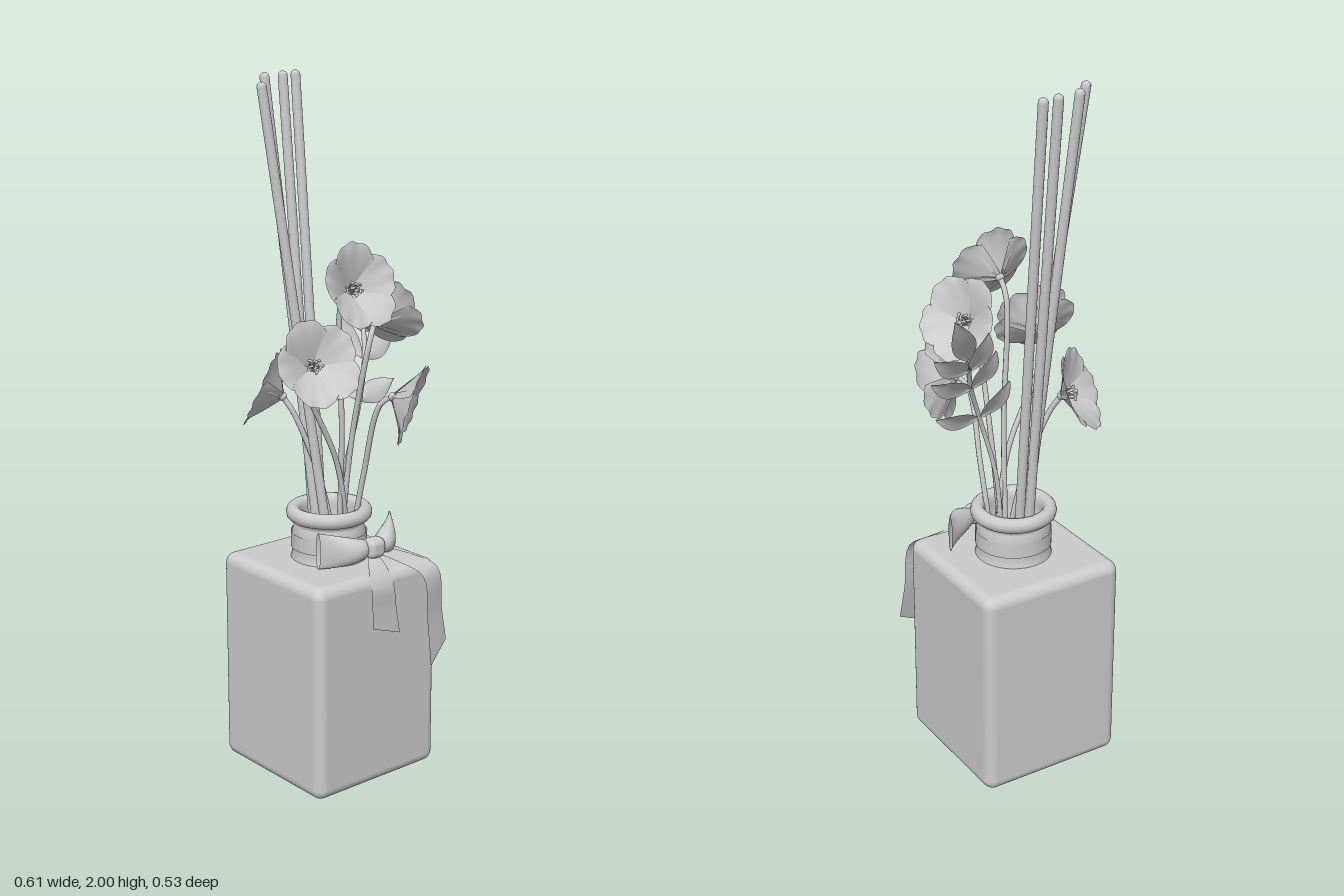
import * as THREE from 'three';
import { RoundedBoxGeometry } from 'three/addons/geometries/RoundedBoxGeometry.js';
import { ParametricGeometry } from 'three/addons/geometries/ParametricGeometry.js';

const solid = new THREE.MeshStandardMaterial({ color: 0xcccccc });
const thin = new THREE.MeshStandardMaterial({ color: 0xcccccc, side: THREE.DoubleSide });
const V = (x, y, z) => new THREE.Vector3(x, y, z);
const UP = V(0, 1, 0);

function part(parent, name, geometry, material = solid) {
  const mesh = new THREE.Mesh(geometry, material);
  mesh.name = name;
  parent.add(mesh);
  return mesh;
}

function tube(parent, name, points, radius) {
  const curve = new THREE.CatmullRomCurve3(points);
  return part(parent, name, new THREE.TubeGeometry(curve, 24, radius, 8));
}

// Straight rod with rounded ends
function rod(parent, name, a, b, radius) {
  const dir = b.clone().sub(a);
  const mesh = part(parent, name, new THREE.CapsuleGeometry(radius, dir.length() - 2 * radius, 5, 14));
  mesh.position.copy(a).lerp(b, 0.5);
  mesh.quaternion.setFromUnitVectors(UP, dir.normalize());
  return mesh;
}

// Round-tipped, cupped petal growing along +x, opening towards +y
function petalGeometry(phase) {
  return new ParametricGeometry((u, v, p) => {
    const s = 2 * u - 1;
    const half = 0.01 + 0.056 * Math.sin((Math.PI / 2) * Math.pow(v, 0.8));
    const rounding = 0.058 * (1 - Math.sqrt(1 - 0.98 * s * s)) * v * v;
    const ruffle = 0.002 * v * v * Math.sin(9 * s + phase);
    p.set(
      0.004 + 0.118 * Math.pow(v, 0.95) - rounding + ruffle,
      0.074 * Math.pow(v, 0.85) - 0.012 * v ** 4 - 0.4 * rounding + 0.012 * s * s * v + ruffle,
      s * half
    );
  }, 18, 12);
}

// Five-petalled blossom; its centre faces along normal
function flower(parent, name, centre, normal, root, spin) {
  const group = new THREE.Group();
  group.name = name;
  parent.add(group);
  const n = normal.normalize();
  const base = centre.clone().addScaledVector(n, -0.035);

  const head = new THREE.Group();
  head.name = name + 'Head';
  head.position.copy(base);
  head.quaternion.setFromUnitVectors(UP, n);
  group.add(head);
  for (let i = 0; i < 5; i++) {
    const petal = part(head, 'petal', petalGeometry(i * 1.7 + spin), thin);
    petal.rotation.y = spin + (i * Math.PI * 2) / 5;
    petal.position.y = 0.003 * (i % 2);
  }
  part(head, 'calyx', new THREE.SphereGeometry(0.013, 12, 8)).scale.y = 0.8;
  // Stamens with small anthers
  for (let i = 0; i < 9; i++) {
    const a = i * 2.4, r = 0.0075 * Math.sqrt(i);
    const tip = V(r * Math.cos(a), 0.045 - 0.0012 * i, r * Math.sin(a));
    rod(head, 'filament', V(tip.x * 0.3, 0.004, tip.z * 0.3), tip, 0.0018);
    const anther = part(head, 'anther', new THREE.CapsuleGeometry(0.004, 0.007, 3, 8));
    anther.position.copy(tip);
    anther.rotation.set(a, 0, 0.8);
  }
  // Stem leaves the neck almost upright and bends into the flower
  const rise = root.clone().lerp(base, 0.45);
  rise.y += 0.02;
  rise.x = root.x + (base.x - root.x) * 0.33;
  rise.z = root.z + (base.z - root.z) * 0.33;
  tube(group, 'stem', [root, rise, base.clone().addScaledVector(n, -0.035).add(V(0, -0.035, 0)), base], 0.008);
}

function leaf(parent, base, dir, side, length) {
  const d = dir.clone().normalize();
  const face = d.clone().cross(side).normalize();
  const across = face.clone().cross(d);
  part(parent, 'leaf', new ParametricGeometry((u, v, p) => {
    const s = 2 * u - 1;
    const half = 0.002 + 0.032 * Math.sin(Math.PI * v);
    p.copy(base).addScaledVector(d, v * length)
      .addScaledVector(across, s * half)
      .addScaledVector(face, 0.006 * s * s + 0.01 * Math.sin(Math.PI * v));
  }, 6, 14), thin);
}

// Ribbon strip between two edge curves
function ribbon(parent, name, left, right) {
  const a = new THREE.CatmullRomCurve3(left), b = new THREE.CatmullRomCurve3(right);
  part(parent, name, new ParametricGeometry((u, v, p) => {
    p.copy(a.getPoint(v)).lerp(b.getPoint(v), u);
  }, 6, 18), thin);
}

export function createModel() {
  const model = new THREE.Group();
  model.name = 'reedDiffuser';

  // Bottle: rounded block with a hollow turned neck
  const bottle = new THREE.Group();
  bottle.name = 'bottle';
  bottle.position.set(-0.0085, 0, -0.045);
  model.add(bottle);
  part(bottle, 'bottleBody', new RoundedBoxGeometry(0.444, 0.635, 0.444, 5, 0.032)).position.y = 0.3175;
  const profile = [
    [0.112, 0.628], [0.108, 0.645], [0.106, 0.66], [0.107, 0.715], [0.099, 0.733], [0.099, 0.745],
    [0.113, 0.749], [0.121, 0.757], [0.124, 0.769], [0.121, 0.781], [0.113, 0.789], [0.102, 0.791],
    [0.091, 0.787], [0.084, 0.777], [0.082, 0.76], [0.082, 0.64], [0, 0.638]
  ].map(([r, y]) => new THREE.Vector2(r, y));
  part(bottle, 'bottleNeck', new THREE.LatheGeometry(profile, 48), thin);
  const band = part(bottle, 'neckRibbon', new THREE.CylinderGeometry(0.11, 0.11, 0.045, 48, 1, true), thin);
  band.position.y = 0.69;

  // Reeds
  [
    [V(-0.04, 0.64, 0.0), V(-0.206, 1.985, -0.084)],
    [V(-0.045, 0.64, -0.04), V(-0.112, 2, -0.193)],
    [V(-0.043, 0.64, -0.065), V(-0.035, 2, -0.21)],
    [V(-0.008, 0.64, -0.07), V(0.017, 2, -0.219)]
  ].forEach(([a, b]) => rod(model, 'reed', a, b, 0.0138));

  // Blossoms: name, centre, facing, root, spin
  flower(model, 'topFlower', V(-0.037, 1.44, 0.105), V(0, 0.36, 0.93), V(-0.01, 0.645, 0.0), 0.31);
  flower(model, 'rightFlower', V(-0.183, 1.25, 0.11), V(-0.22, 0.4, 0.88), V(0.03, 0.645, 0.0), 0.4);
  flower(model, 'lowFrontFlower', V(0.087, 1.12, 0.165), V(0.58, -0.3, 0.75), V(0.04, 0.645, -0.01), 0.1);
  flower(model, 'leftFlower', V(0.1, 1.34, 0.045), V(0.78, 0.48, -0.3), V(0.02, 0.645, -0.03), 0.5);
  flower(model, 'backFlower', V(-0.15, 1.13, -0.125), V(-0.62, 0.42, -0.66), V(0.0, 0.645, -0.02), 1.1);

  // Leafy twig: three pairs and an end leaf
  const twig = new THREE.Group();
  twig.name = 'leafTwig';
  model.add(twig);
  const path = [V(0.02, 0.645, -0.03), V(0.04, 0.88, -0.03), V(0.095, 1.07, -0.035), V(0.145, 1.19, -0.07), V(0.185, 1.3, -0.125)];
  tube(twig, 'twigStem', path, 0.007);
  const axis = V(0.46, 0.77, -0.46), across = V(0.89, -0.39, 0.23);
  leaf(twig, path[4], axis, across, 0.21);
  [V(0.1, 1.08, -0.035), V(0.145, 1.19, -0.07), V(0.17, 1.26, -0.105)].forEach((p, i) => {
    for (const s of [-1, 1]) {
      const dir = axis.clone().multiplyScalar(0.7 + 0.1 * i).addScaledVector(across, s * (0.75 - 0.1 * i));
      leaf(twig, p, dir, across, 0.155);
    }
  });

  // Bow: puffed loops that bend back around the neck, and a knot
  const bow = new THREE.Group();
  bow.name = 'bow';
  bow.position.set(0.023, 0.693, 0.105);
  model.add(bow);
  for (const s of [-1, 1]) {
    part(bow, 'bowLoop', new ParametricGeometry((u, v, p) => {
      const a = u * Math.PI * 2;
      const h = 0.018 + 0.036 * Math.pow(v, 0.7);
      const d = 0.01 + 0.026 * Math.sin(Math.PI * Math.pow(v, 0.9));
      p.set(s * (0.012 + 0.122 * v), h * Math.cos(a) + 0.005 * v * s, d * Math.sin(a) - 0.075 * v * v);
    }, 24, 14), thin);
  }
  const knot = part(bow, 'bowKnot', new RoundedBoxGeometry(0.06, 0.06, 0.05, 4, 0.02));
  knot.position.z = 0.01;

  // Ribbon tails falling over the bottle's shoulder
  ribbon(model, 'longTail',
    [V(0.02, 0.68, 0.11), V(0.09, 0.642, 0.155), V(0.14, 0.6, 0.195), V(0.155, 0.46, 0.2), V(0.16, 0.325, 0.212)],
    [V(0.05, 0.69, 0.1), V(0.15, 0.65, 0.13), V(0.21, 0.61, 0.18), V(0.229, 0.48, 0.18), V(0.248, 0.378, 0.18)]);
  ribbon(model, 'shortTail',
    [V(0.005, 0.68, 0.11), V(-0.03, 0.645, 0.155), V(-0.042, 0.6, 0.181), V(-0.038, 0.54, 0.181), V(-0.035, 0.48, 0.181)],
    [V(0.03, 0.68, 0.11), V(0.035, 0.645, 0.155), V(0.04, 0.6, 0.181), V(0.052, 0.52, 0.181), V(0.065, 0.445, 0.181)]);

  return model;
}
